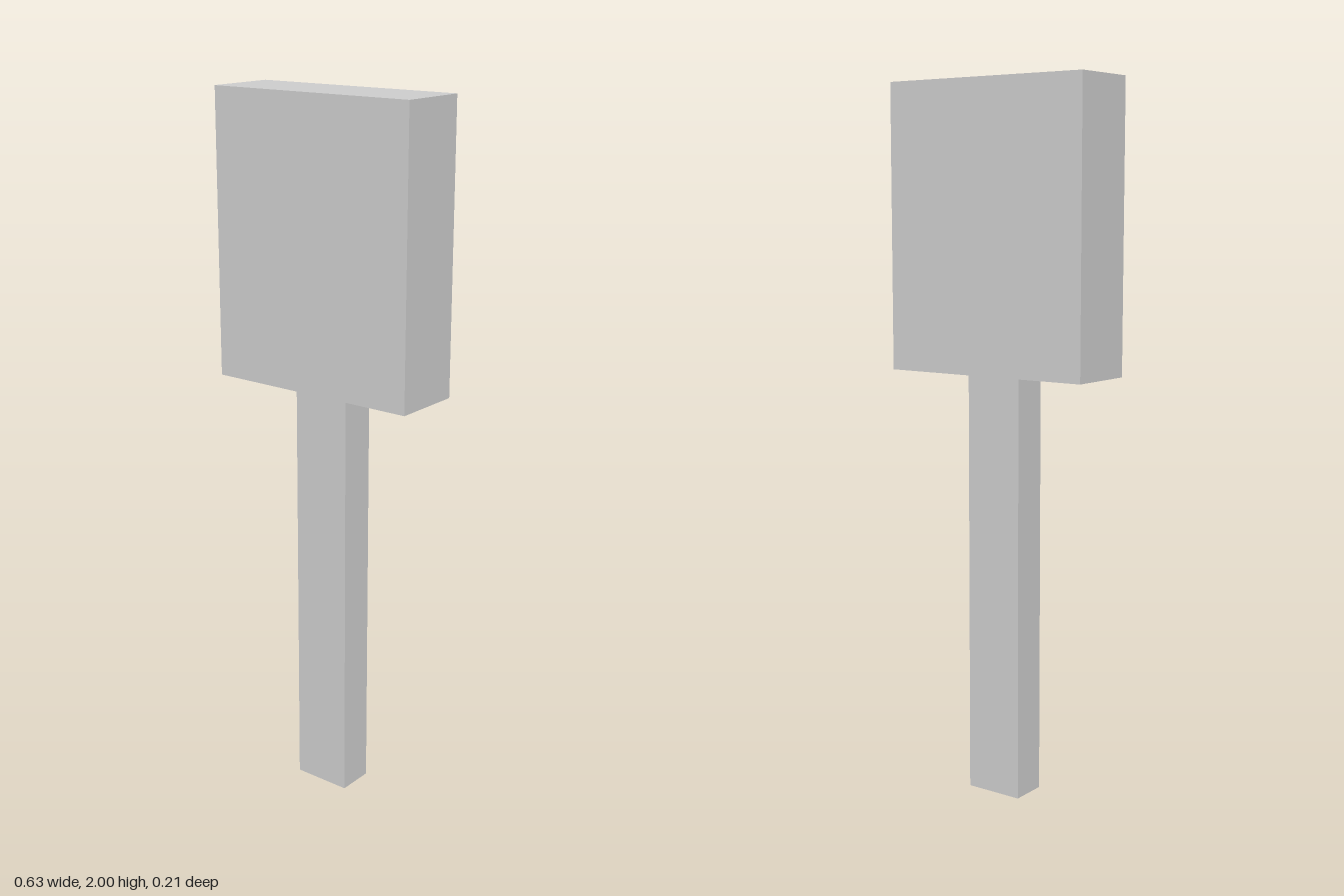
import * as THREE from 'three';

const material = new THREE.MeshStandardMaterial({ color: 0xcccccc, flatShading: true });

// Box standing on height y
function block(name, width, height, depth, x, y, z) {
  const mesh = new THREE.Mesh(new THREE.BoxGeometry(width, height, depth), material);
  mesh.name = name;
  mesh.position.set(x, y + height / 2, z);
  return mesh;
}

export function createModel() {
  const group = new THREE.Group();
  group.name = 'postWithPanel';
  const panelBase = 1.205;

  // Slim post, set slightly off centre
  group.add(block('post', 0.17, panelBase, 0.106, 0.005, 0, 0.005));
  // Thick panel on top
  group.add(block('panel', 0.632, 2 - panelBase, 0.206, 0, panelBase, 0));
  return group;
}
